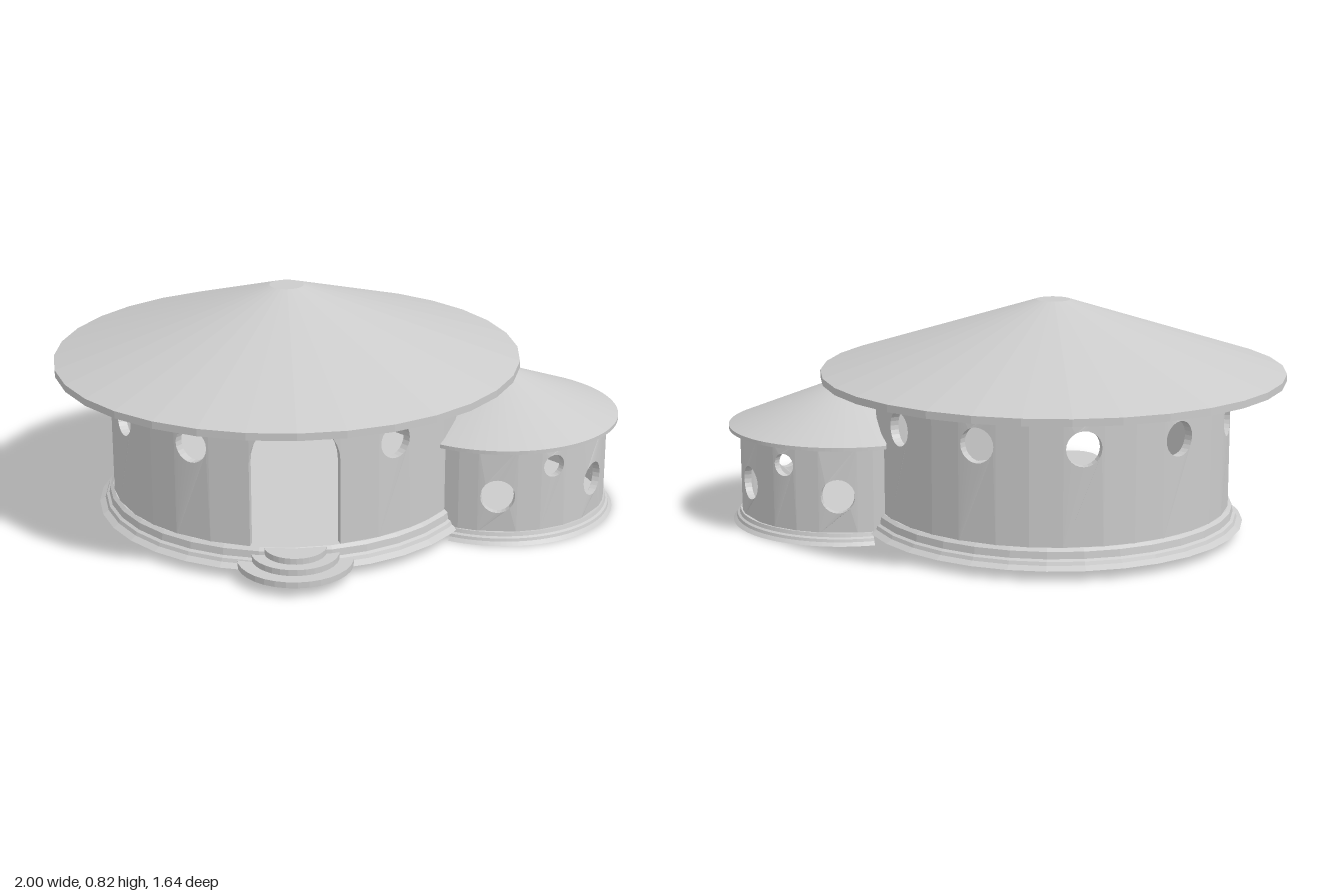
import * as THREE from 'three';
import { mergeGeometries } from 'three/addons/utils/BufferGeometryUtils.js';

const material = new THREE.MeshStandardMaterial({ color: 0xcccccc, flatShading: true, side: THREE.DoubleSide });
const MAIN = { x: -0.18, z: 0 };
const ANNEX = { x: 0.573, z: 0.025 };
const rad = THREE.MathUtils.degToRad;
const v2 = (list) => list.map(([x, y]) => new THREE.Vector2(x, y));

function addMesh(parent, name, geometry) {
  const mesh = new THREE.Mesh(geometry, material);
  mesh.name = name;
  parent.add(mesh);
  return mesh;
}

// Flat outline in (arc length, height), thickened and bent round the y axis
function bentPanel(R, t, outline, hole) {
  const shape = new THREE.Shape(v2(outline));
  if (hole) {
    const path = new THREE.Path();
    path.absarc(hole.x, hole.y, hole.r, 0, Math.PI * 2, true);
    shape.holes.push(path);
  }
  const geo = new THREE.ExtrudeGeometry(shape, { depth: t, bevelEnabled: false, curveSegments: 12 });
  const p = geo.attributes.position;
  for (let i = 0; i < p.count; i++) {
    const a = p.getX(i) / R, d = R - t + p.getZ(i);
    p.setXYZ(i, d * Math.sin(a), p.getY(i), d * Math.cos(a));
  }
  geo.computeVertexNormals();
  return geo;
}

// Curved wall from angle a0 to a1 (degrees from the front), with round windows {a, y, r}
function wallPanels(R, t, y0, y1, a0, a1, windows) {
  const panels = [];
  const rect = (from, to) => [[from, y0], [to, y0], [to, y1], [from, y1]];
  const plain = (from, to) => {
    const n = Math.max(1, Math.round((to - from) / rad(9)));
    for (let i = 0; i < n; i++) {
      const s = from + (to - from) * i / n, e = from + (to - from) * (i + 1) / n;
      panels.push(bentPanel(R, t, rect(s * R, e * R)));
    }
  };
  let cursor = rad(a0);
  for (const w of windows) {
    const mid = rad(w.a), half = (w.r + 0.008) / R;
    plain(cursor, mid - half);
    panels.push(bentPanel(R, t, rect((mid - half) * R, (mid + half) * R), { x: mid * R, y: w.y, r: w.r }));
    cursor = mid + half;
  }
  plain(cursor, rad(a1));
  return panels;
}

// Wall strips above the arched doorway
function archPanels(R, t, halfWidth, springY, topY) {
  const n = 16, panels = [];
  const point = (i) => {
    const x = -halfWidth * Math.cos(Math.PI * i / n);
    return [R * Math.asin(x / R), springY + halfWidth * Math.sin(Math.PI * i / n)];
  };
  for (let i = 0; i < n; i++) {
    const a = point(i), b = point(i + 1);
    panels.push(bentPanel(R, t, [a, b, [b[0], topY], [a[0], topY]]));
  }
  return panels;
}

// Pull annex vertices back to where they meet the main round wall
function clipToMain(geo, clipR, slope) {
  const dx = ANNEX.x - MAIN.x, dz = ANNEX.z - MAIN.z;
  const p = geo.attributes.position;
  for (let i = 0; i < p.count; i++) {
    const x = p.getX(i), z = p.getZ(i), r = Math.hypot(x, z);
    if (r < 1e-6) continue;
    const b = (x * dx + z * dz) / r;
    const disc = b * b - (dx * dx + dz * dz - clipR * clipR);
    if (b >= 0 || disc < 0) continue;
    const limit = -b - Math.sqrt(disc);
    if (r <= limit) continue;
    const y = p.getY(i);
    const newY = slope && y > slope.minY ? y + (r - limit) * slope.k : y;
    p.setXYZ(i, x / r * limit, newY, z / r * limit);
  }
  geo.computeVertexNormals();
  return geo;
}

export function createModel() {
  const model = new THREE.Group();
  model.name = 'roundHouse';

  // Main round house
  const main = new THREE.Group();
  main.name = 'mainHouse';
  main.position.set(MAIN.x, 0, MAIN.z);
  model.add(main);

  addMesh(main, 'mainPlinth', new THREE.LatheGeometry(v2([
    [0, 0.035], [0.68, 0.035], [0.66, 0.048], [0.655, 0.06], [0.645, 0.066], [0.642, 0.09], [0.63, 0.1], [0, 0.1],
  ]), 33));

  const R = 0.628, t = 0.03, doorHalf = 0.15;
  const doorAngle = THREE.MathUtils.radToDeg(Math.asin(doorHalf / R));
  const mainWindows = [1, 4, 5, 6, 7, 8, 9, 10].map((k) => ({ a: k * 360 / 11, y: 0.43, r: 0.06 }));
  addMesh(main, 'mainWall', mergeGeometries([
    ...wallPanels(R, t, 0.09, 0.555, doorAngle, 360 - doorAngle, mainWindows),
    ...archPanels(R, t, doorHalf, 0.395, 0.555),
  ]));

  addMesh(main, 'mainRoof', new THREE.LatheGeometry(v2([
    [0, 0.55], [0.82, 0.55], [0.82, 0.575], [0.06, 0.82], [0, 0.82],
  ]), 32));

  // Round entrance steps
  [[0.195, 0.035, 0.056], [0.147, 0.045, 0.077], [0.105, 0.06, 0.098]].forEach(([r, y0, y1], i) => {
    const step = addMesh(main, 'entranceStep' + (i + 1), new THREE.CylinderGeometry(r, r, y1 - y0, 32));
    step.position.set(0, (y0 + y1) / 2, 0.61);
  });

  // Smaller round annex joined to the side
  const annex = new THREE.Group();
  annex.name = 'annex';
  annex.position.set(ANNEX.x, 0, ANNEX.z);
  model.add(annex);

  addMesh(annex, 'annexPlinth', clipToMain(new THREE.LatheGeometry(v2([
    [0, 0], [0.42, 0], [0.408, 0.012], [0.405, 0.022], [0.397, 0.027], [0.393, 0.04], [0, 0.04],
  ]), 128), 0.655));

  const annexWindows = [[-7.6, 1], [22, 0], [52, 1], [104, 0], [129, 1], [158, 0], [187.6, 1]]
    .map(([a, large]) => (large ? { a, y: 0.17, r: 0.06 } : { a, y: 0.27, r: 0.04 }));
  addMesh(annex, 'annexWall', mergeGeometries(wallPanels(0.388, 0.025, 0.035, 0.345, -38, 214, annexWindows)));

  addMesh(annex, 'annexRoof', clipToMain(new THREE.LatheGeometry(v2([
    [0, 0.34], [0.427, 0.34], [0.427, 0.353], [0.045, 0.505], [0, 0.505],
  ]), 128), 0.614, { minY: 0.35, k: 0.152 / 0.382 }));

  return model;
}
